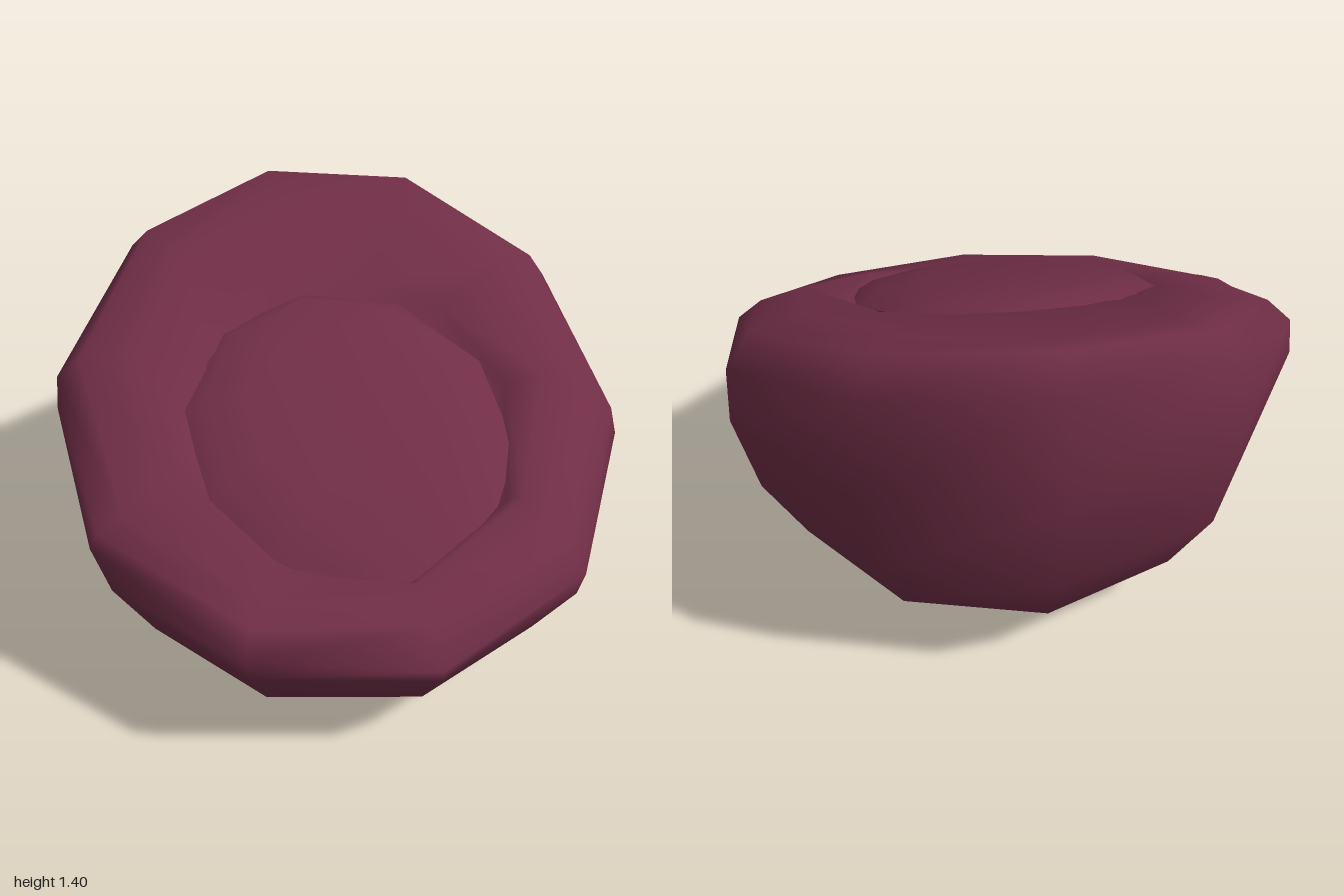
import * as THREE from 'three';

const SIDES = 10;

// Skin a stack of ten-sided rings, bottom to top; a ring of radius 0 closes an end.
function loft(rings, point) {
  const positions = [], index = [];
  const starts = rings.map((ring) => {
    const start = positions.length / 3;
    const count = ring[0] === 0 ? 1 : SIDES;
    for (let j = 0; j < count; j++) {
      const a = (j / SIDES) * Math.PI * 2;
      positions.push(...point(ring, Math.sin(a), Math.cos(a)));
    }
    return { start, count };
  });
  const id = (i, j) => starts[i].start + (j % starts[i].count);
  for (let i = 0; i < rings.length - 1; i++) {
    for (let j = 0; j < SIDES; j++) {
      if (starts[i].count > 1) index.push(id(i, j), id(i, j + 1), id(i + 1, j + 1));
      if (starts[i + 1].count > 1) index.push(id(i, j), id(i + 1, j + 1), id(i + 1, j));
    }
  }
  const geometry = new THREE.BufferGeometry();
  geometry.setAttribute('position', new THREE.Float32BufferAttribute(positions, 3));
  geometry.setIndex(index);
  geometry.computeVertexNormals();
  return geometry;
}

export function createModel() {
  const group = new THREE.Group();
  const material = new THREE.MeshStandardMaterial({ color: 0x702e46 });
  const add = (name, geometry) => {
    const mesh = new THREE.Mesh(geometry, material);
    mesh.name = name;
    group.add(mesh);
  };

  // Bag body: radius, front-back shift, extra side radius, height, z slope, x slope, side lift
  const body = [
    [0, 0, 0, 0, 0, 0, 0],
    [0.6, 0.02, 0, 0.01, 0, 0, 0],
    [0.825, 0.025, 0, 0.225, -0.015, 0, 0],
    [0.975, 0.02, -0.015, 0.5, -0.05, 0, 0.01],
    [1.0, 0, 0.02, 0.715, -0.215, 0, 0.07],
    [0.93, -0.02, 0.07, 0.95, -0.37, 0.035, -0.05],
    [0.83, -0.03, 0.08, 1.0, -0.46, 0.06, -0.02],
    // rounded lip, then the seat opening and its floor
    [0.735, 0.02, -0.02, 1.0, -0.455, 0.08, 0.06],
    [0.53, 0.2, 0, 1.0, -0.495, 0.05, 0],
    [0.46, 0.18, 0, 0.91, -0.48, 0.05, 0],
    [0, 0, 0, 0.9, 0, 0, 0],
  ];
  add('bagBody', loft(body, ([r, shift, wide, y, slopeZ, slopeX, lift], s, c) => {
    const radius = r + shift * c + wide * s * s;
    const x = radius * s, z = radius * c;
    return [x, y + slopeZ * z + slopeX * x + lift * x * x, z];
  }));

  // Seat cushion: radius, height above the tilted seat plane (the doubled ring keeps the edge sharp)
  const cushion = [
    [0.5, -0.12],
    [0.535, -0.02],
    [0.535, -0.02],
    [0.46, 0.035],
    [0.3, 0.07],
    [0, 0.08],
  ];
  add('seatCushion', loft(cushion, ([r, h], s, c) => {
    const x = 1.08 * r * s, z = r * c + 0.06 * x;
    return [x - 0.04, 0.905 + h - 0.47 * z + 0.05 * x, z + 0.2];
  }));

  return group;
}
